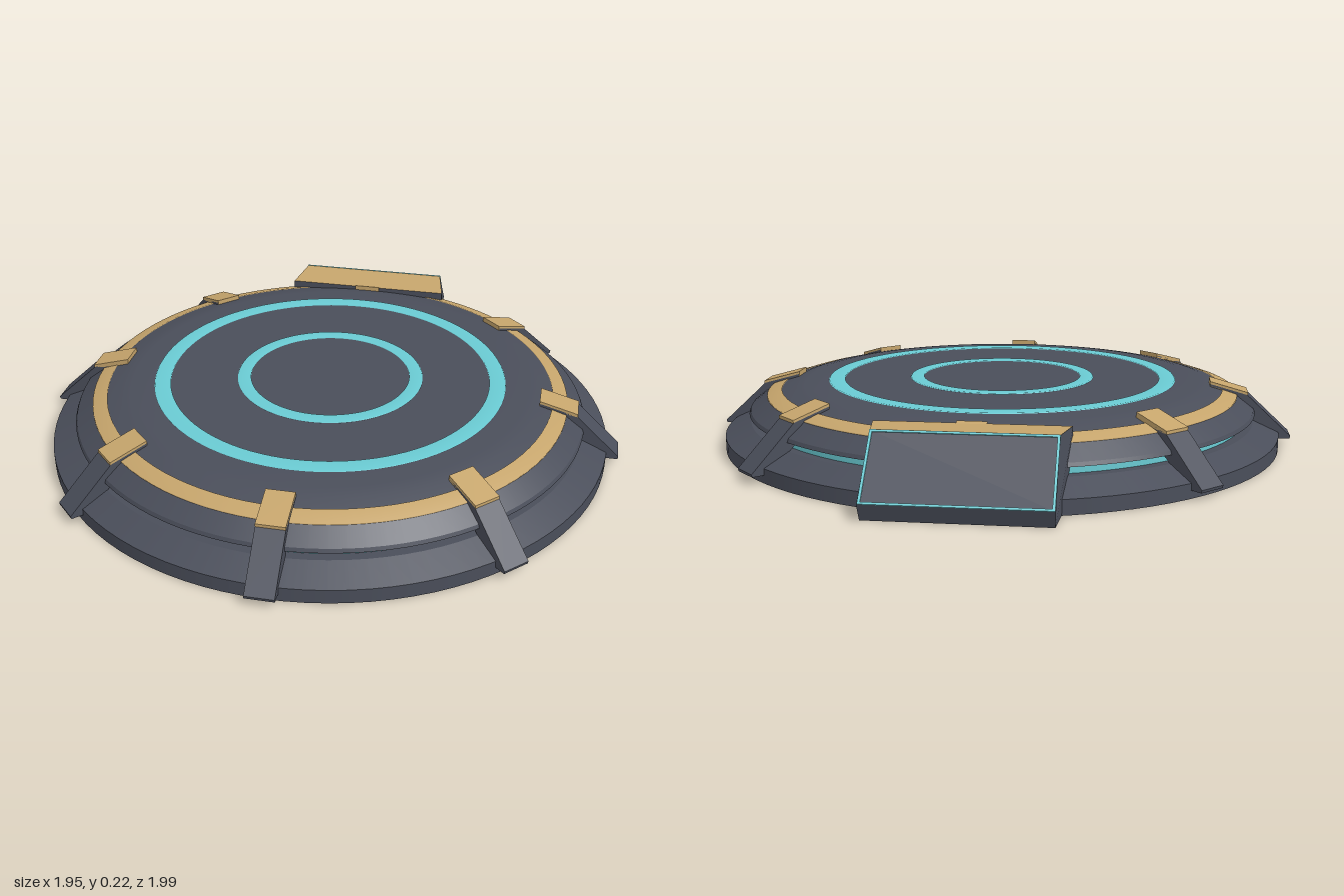
import * as THREE from 'three';

const SEG = 96;
const DISC_Z = 0.02;

export function createModel() {
  const mat = (name, color) => {
    const m = new THREE.MeshStandardMaterial({ color });
    m.name = name;
    return m;
  };
  const slate = mat('slate', 0x4a4e5a);
  const gold = mat('gold', 0xc6a56c);
  const cyan = mat('cyan', 0x6acbd3);

  const model = new THREE.Group();
  model.name = 'platform';
  const disc = new THREE.Group();
  disc.name = 'disc';
  disc.position.z = DISC_Z;
  model.add(disc);

  const add = (parent, name, geometry, material) => {
    const mesh = new THREE.Mesh(geometry, material);
    mesh.name = name;
    parent.add(mesh);
    return mesh;
  };
  // Lathe from [radius, height] points, listed from the outside bottom upwards
  const turn = (name, material, points) =>
    add(disc, name, new THREE.LatheGeometry(points.map(p => new THREE.Vector2(...p)), SEG), material);

  // Base plate, split at its sharp edges
  turn('baseUnderside', slate, [[0, 0], [0.935, 0]]);
  turn('baseRim', slate, [[0.935, 0], [0.935, 0.046]]);
  turn('baseSlope', slate, [[0.935, 0.046], [0.85, 0.085]]);
  turn('baseLedge', slate, [[0.85, 0.085], [0.82, 0.085]]);

  // Glowing groove between base and upper shell
  turn('grooveLight', cyan, [[0.82, 0.085], [0.82, 0.113]]);

  // Upper shell
  turn('shellUnderside', slate, [[0.82, 0.113], [0.855, 0.113]]);
  turn('shellEdge', slate, [[0.855, 0.113], [0.85, 0.125]]);
  turn('shellSlope', slate, [[0.85, 0.125], [0.795, 0.167]]);
  turn('goldBand', gold, [[0.795, 0.167], [0.795, 0.171], [0.746, 0.187], [0.746, 0.184]]);
  turn('shellShoulder', slate, [[0.746, 0.184], [0.70, 0.198], [0.66, 0.205], [0.59, 0.208]]);
  turn('deck', slate, [[0.59, 0.208], [0, 0.208]]);

  // Raised light rings on the deck
  for (const [name, inner, outer] of [['outerRing', 0.535, 0.59], ['innerRing', 0.267, 0.313]]) {
    turn(name, cyan, [[outer, 0.206], [outer - 0.003, 0.211], [inner, 0.211], [inner, 0.206]]);
  }

  // Eight clamps, each a slanted strut with a gold cap
  const WIDTH = 0.09;
  const slab = points => {
    const shape = new THREE.Shape(points.map(p => new THREE.Vector2(...p)));
    return new THREE.ExtrudeGeometry(shape, { depth: WIDTH, bevelEnabled: false })
      .translate(0, 0, -WIDTH / 2);
  };
  const strutGeometry = slab([
    [0.915, 0.025], [0.972, 0.025], [0.974, 0.034], [0.828, 0.17],
    [0.706, 0.204], [0.706, 0.16], [0.80, 0.125],
  ]);
  const capGeometry = slab([[0.83, 0.168], [0.83, 0.178], [0.704, 0.213], [0.704, 0.19]]);
  for (let i = 0; i < 8; i++) {
    const clamp = new THREE.Group();
    clamp.name = 'clamp';
    clamp.rotation.y = i * Math.PI / 4;
    add(clamp, 'strut', strutGeometry, slate);
    add(clamp, 'cap', capGeometry, gold);
    disc.add(clamp);
  }

  // Rear console: side profile as [height, z, half width], going up the back and down the front
  const profile = [
    [0, -0.98, 0.265], [0.05, -0.998, 0.268], [0.215, -0.83, 0.265],
    [0.208, -0.69, 0.29], [0.14, -0.69, 0.29], [0, -0.80, 0.28],
  ];
  const position = [];
  const geometry = new THREE.BufferGeometry();
  const corner = (i, side) => {
    const [y, z, w] = profile[i % profile.length];
    return [side * w, y, z];
  };
  const tri = (...corners) => corners.forEach(c => position.push(...c));
  for (let i = 0; i < profile.length; i++) {
    tri(corner(i, -1), corner(i + 1, -1), corner(i + 1, 1));
    tri(corner(i, -1), corner(i + 1, 1), corner(i, 1));
    geometry.addGroup(i * 6, 6, i === 2 ? 1 : 0); // the top face is gold
  }
  const sideStart = position.length / 3;
  for (let i = 1; i < profile.length - 1; i++) {
    tri(corner(0, 1), corner(i, 1), corner(i + 1, 1));
    tri(corner(0, -1), corner(i + 1, -1), corner(i, -1));
  }
  geometry.addGroup(sideStart, position.length / 3 - sideStart, 0);
  geometry.setAttribute('position', new THREE.Float32BufferAttribute(position, 3));
  geometry.computeVertexNormals();
  add(model, 'console', geometry, [slate, gold]);

  // Thin glowing frame around the console's sloping panel
  const [, [y0, z0], [y1, z1]] = profile;
  const length = Math.hypot(y1 - y0, z1 - z0);
  const rect = (Target, w, h) => new Target([[-w, -h], [w, -h], [w, h], [-w, h]]
    .map(p => new THREE.Vector2(...p)));
  const frame = rect(THREE.Shape, 0.266, length / 2);
  frame.holes.push(rect(THREE.Path, 0.258, length / 2 - 0.007));
  const trim = add(model, 'panelTrim',
    new THREE.ExtrudeGeometry(frame, { depth: 0.003, bevelEnabled: false }), cyan);
  trim.position.set(0, (y0 + y1) / 2, (z0 + z1) / 2);
  trim.rotation.x = Math.atan2(z0 - z1, y0 - y1);
  trim.rotation.x = Math.atan2(-(z1 - z0), -(y1 - y0));

  return model;
}
